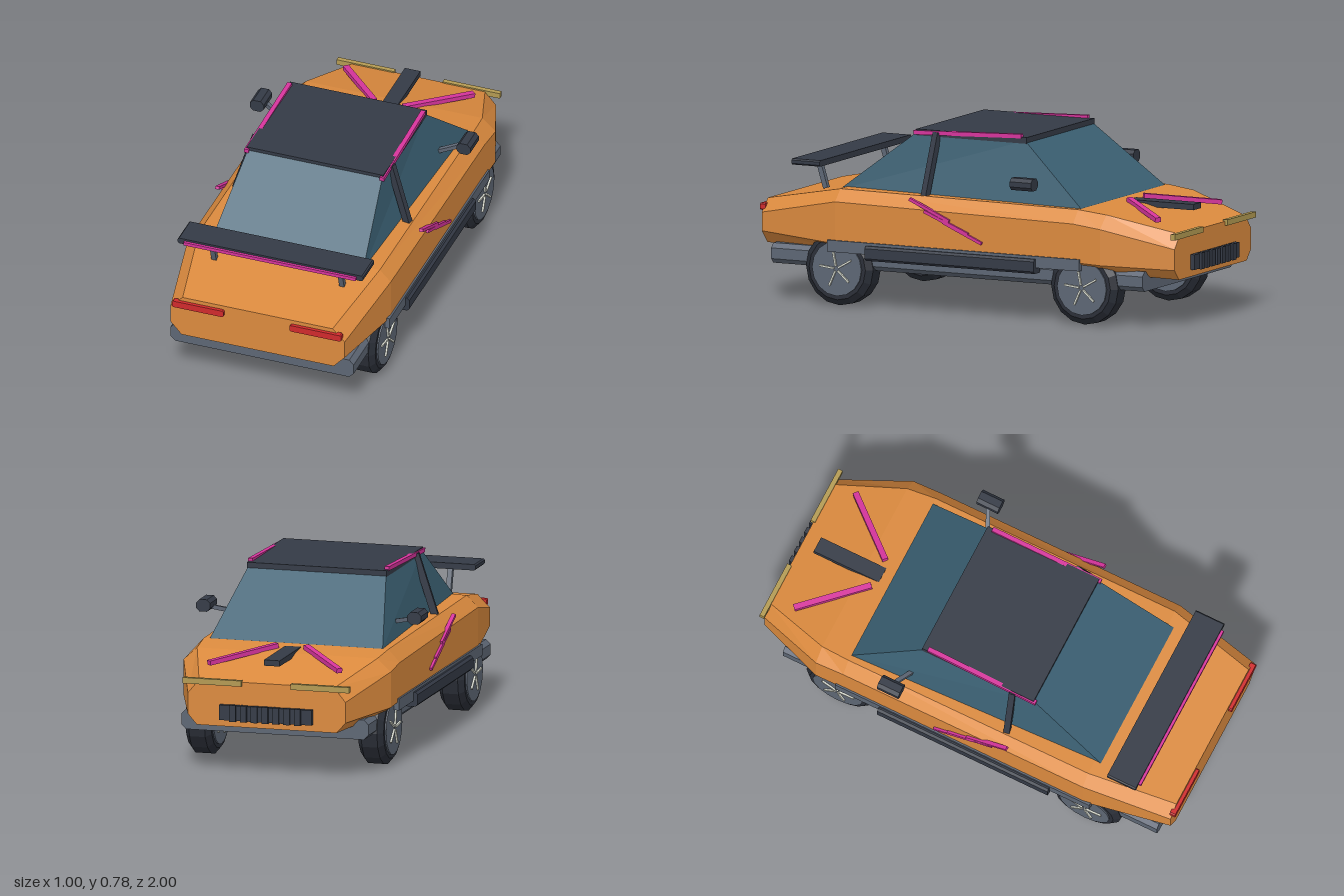
import * as THREE from 'three';

const mat = (name, color) => Object.assign(new THREE.MeshStandardMaterial({ color }), { name });

export function createModel() {
  const car = new THREE.Group();
  car.name = 'car';
  const orange = mat('orange paint', 0xdb8a3e), glass = mat('teal glass', 0x3b6073);
  const dark = mat('dark trim', 0x343a46), slate = mat('slate metal', 0x5d6674);
  const pink = mat('pink accent', 0xd6349c), red = mat('red lamp', 0xd02a2c);
  const gold = mat('gold lamp', 0xb39a52), white = mat('off white', 0xd8dbd0);
  const tyreMat = mat('tyre rubber', 0x2a2e37);

  const add = (name, geo, material, parent = car) => {
    const mesh = new THREE.Mesh(geo, material);
    mesh.name = name;
    parent.add(mesh);
    return mesh;
  };
  // Axis-aligned box given by its limits
  const box = (name, material, [x0, x1], [y0, y1], [z0, z1]) => {
    const g = new THREE.BoxGeometry(x1 - x0, y1 - y0, z1 - z0);
    g.translate((x0 + x1) / 2, (y0 + y1) / 2, (z0 + z1) / 2);
    return add(name, g, material);
  };
  // Box with chamfered long edges, running along z
  const prism = (name, material, [x0, x1], [y0, y1], [z0, z1], c) => {
    const pts = [[x0 + c, y0], [x1 - c, y0], [x1, y0 + c], [x1, y1 - c],
      [x1 - c, y1], [x0 + c, y1], [x0, y1 - c], [x0, y0 + c]];
    const shape = new THREE.Shape(pts.map(p => new THREE.Vector2(...p)));
    const g = new THREE.ExtrudeGeometry(shape, { depth: z1 - z0, bevelEnabled: false });
    g.translate(0, 0, z0);
    return add(name, g, material);
  };
  // Rectangular bar between two points
  const bar = (name, material, a, b, w, h) => {
    const p = new THREE.Vector3(...a), q = new THREE.Vector3(...b);
    const m = add(name, new THREE.BoxGeometry(w, h, p.distanceTo(q)), material);
    m.position.copy(p).lerp(q, 0.5);
    m.lookAt(q);
    return m;
  };
  // Flat-shaded closed skin over matching rings of points
  const loft = rings => {
    const n = rings[0].length, last = (rings.length - 1) * n, idx = [];
    for (let i = 0; i < last; i += n) {
      for (let j = 0; j < n; j++) {
        const a = i + j, b = i + (j + 1) % n;
        idx.push(a, b, b + n, a, b + n, a + n);
      }
    }
    for (let j = 1; j < n - 1; j++) idx.push(0, j + 1, j, last, last + j, last + j + 1);
    const g = new THREE.BufferGeometry();
    g.setAttribute('position', new THREE.Float32BufferAttribute(rings.flat(2), 3));
    g.setIndex(idx);
    const flat = g.toNonIndexed();
    flat.computeVertexNormals();
    return flat;
  };

  // Body shell: z, top half width, top y, side half width, upper y, lower y, floor half width, floor y
  const sections = [
    [-0.97, 0.30, 0.40, 0.35, 0.34, 0.25, 0.31, 0.205],
    [-0.67, 0.40, 0.475, 0.46, 0.42, 0.265, 0.40, 0.225],
    [-0.54, 0.41, 0.49, 0.46, 0.435, 0.27, 0.40, 0.235],
    [0.60, 0.41, 0.50, 0.46, 0.45, 0.27, 0.40, 0.235],
    [0.985, 0.34, 0.425, 0.395, 0.37, 0.29, 0.345, 0.235],
  ];
  add('body', loft(sections.map(([z, tw, ty, sw, uy, ly, bw, by]) => [
    [bw, by, z], [sw, ly, z], [sw, uy, z], [tw, ty, z],
    [-tw, ty, z], [-sw, uy, z], [-sw, ly, z], [-bw, by, z],
  ])), orange);

  // Cabin glass and roof
  const cabinRing = (y, wr, zr, wf, zf) => [[wr, y, zr], [wf, y, zf], [-wf, y, zf], [-wr, y, zr]];
  add('cabinGlass', loft([
    cabinRing(0.485, 0.345, 0.64, 0.385, -0.545),
    cabinRing(0.75, 0.305, 0.29, 0.305, -0.23),
  ]), glass);
  box('roof', dark, [-0.31, 0.31], [0.738, 0.765], [-0.24, 0.29]);

  // Chassis
  prism('chassis', slate, [-0.415, 0.415], [0.157, 0.243], [-0.85, 0.93], 0.02);

  // Nose: grille and scoop
  box('grille', dark, [-0.205, 0.205], [0.235, 0.3], [-0.99, -0.96]);
  for (let i = -3; i <= 3; i++) {
    box('grilleSlat', dark, [i * 0.048 - 0.014, i * 0.048 + 0.014], [0.232, 0.303], [-1, -0.98]);
  }
  box('hoodScoop', dark, [-0.035, 0.035], [0.462, 0.487], [-0.895, -0.585]);

  // Rear wing
  prism('wing', dark, [-0.42, 0.42], [0.588, 0.614], [0.695, 0.83], 0.006);
  box('wingStripe', pink, [-0.39, 0.39], [0.59, 0.605], [0.825, 0.842]);

  for (const s of [-1, 1]) {
    const span = (a, b) => (s > 0 ? [a, b] : [-b, -a]);

    // Lamps
    prism('tailLight', red, span(0.15, 0.383), [0.377, 0.407], [0.975, 1], 0.005);
    box('headLight', gold, span(0.11, 0.37), [0.383, 0.408], [-0.983, -0.962]);

    // Sills
    box('sill', slate, span(0.38, 0.468), [0.235, 0.285], [-0.575, 0.635]);
    prism('sideSkirt', dark, span(0.425, 0.486), [0.21, 0.273], [-0.365, 0.445], 0.01);

    // Door pillar, mirror and wing strut
    bar('pillar', dark, [s * 0.39, 0.49, 0.205], [s * 0.308, 0.755, 0.19], 0.027, 0.03);
    prism('mirror', dark, span(0.437, 0.5), [0.565, 0.617], [-0.36, -0.258], 0.015);
    bar('mirrorArm', slate, [s * 0.345, 0.552, -0.26], [s * 0.45, 0.58, -0.31], 0.018, 0.018);
    bar('wingStrut', slate, [s * 0.29, 0.478, 0.73], [s * 0.29, 0.595, 0.765], 0.022, 0.022);

    // Pink accents on roof, hood and doors
    bar('roofStripe', pink, [s * 0.307, 0.75, 0.3], [s * 0.303, 0.769, -0.215], 0.02, 0.018);
    bar('hoodStripe', pink, [s * 0.065, 0.492, -0.605], [s * 0.29, 0.452, -0.86], 0.026, 0.02);
    for (const [z0, y0, z1, y1] of [
      [0.24, 0.488, 0.05, 0.405], [0.17, 0.44, -0.04, 0.355], [0.08, 0.4, -0.105, 0.32]]) {
      bar('doorSlash', pink, [s * 0.462, y0, z0], [s * 0.462, y1, z1], 0.018, 0.013);
    }

    // Wheels
    for (const z of [0.6, -0.575]) {
      const wheel = new THREE.Group();
      wheel.name = 'wheel';
      wheel.position.set(s * 0.383, 0.161, z);
      car.add(wheel);
      const profile = [[0, -0.057], [0.135, -0.057], [0.161, -0.035], [0.161, 0.035],
        [0.135, 0.057], [0, 0.057]].map(p => new THREE.Vector2(...p));
      const tyreGeo = new THREE.LatheGeometry(profile, 16).toNonIndexed();
      tyreGeo.computeVertexNormals();
      tyreGeo.rotateZ(Math.PI / 2);
      add('tyre', tyreGeo, tyreMat, wheel);
      const rimGeo = new THREE.CylinderGeometry(0.118, 0.118, 0.126, 16);
      add('rim', rimGeo.rotateZ(Math.PI / 2), slate, wheel);
      for (let i = 0; i < 5; i++) {
        const g = new THREE.BoxGeometry(0.142, 0.07, 0.008);
        g.translate(0, 0.046, 0);
        g.rotateX(i * Math.PI * 0.4 + 0.2);
        add('spoke', g, white, wheel);
      }
    }
  }
  return car;
}
